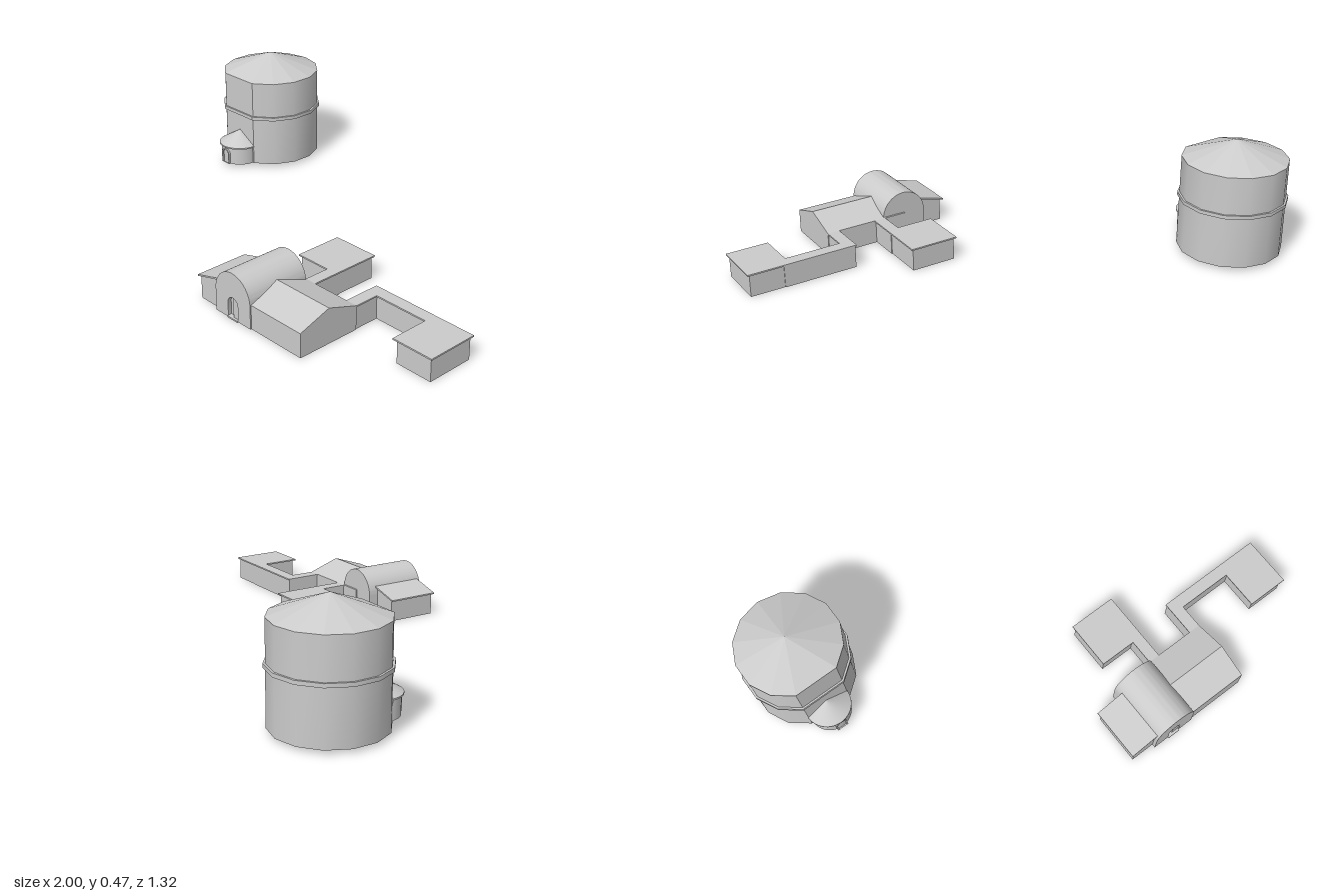
import * as THREE from 'three';
import { toCreasedNormals } from 'three/addons/utils/BufferGeometryUtils.js';

const grey = new THREE.MeshStandardMaterial({ color: 0xcccccc, side: THREE.DoubleSide });
const faceted = new THREE.MeshStandardMaterial({ color: 0xcccccc, side: THREE.DoubleSide, flatShading: true });

function add(parent, name, geometry, x = 0, y = 0, z = 0, material = grey) {
  const mesh = new THREE.Mesh(geometry, material);
  mesh.name = name;
  mesh.position.set(x, y, z);
  parent.add(mesh);
  return mesh;
}

const shapeOf = (points) => new THREE.Shape(points.map(([x, y]) => new THREE.Vector2(x, y)));
const extrude = (shape, depth) =>
  toCreasedNormals(new THREE.ExtrudeGeometry(shape, { depth, bevelEnabled: false, curveSegments: 20 }), 0.5);

// Horizontal slab from a plan outline given as [x, z]
function slab(plan, height) {
  return extrude(shapeOf(plan.map(([x, z]) => [x, -z])), height).rotateX(-Math.PI / 2);
}
const rect = (x0, z0, x1, z1) => [[x0, z0], [x1, z0], [x1, z1], [x0, z1]];

// Round-headed outline, standing on y = 0 and centred on x = 0
function arch(halfWidth, springing, Type = THREE.Shape) {
  const s = new Type();
  s.moveTo(-halfWidth, 0);
  s.lineTo(halfWidth, 0);
  s.lineTo(halfWidth, springing);
  s.absarc(0, springing, halfWidth, 0, Math.PI, false);
  s.lineTo(-halfWidth, 0);
  return s;
}

// Fourteen-sided drum whose front two sides are cut to one flat face
function drum(top, bottom, height, crease = 0.5) {
  const g = new THREE.CylinderGeometry(top, bottom, height, 14).translate(0, height / 2, 0);
  const p = g.attributes.position;
  const limit = bottom * Math.cos(Math.PI / 7);
  for (let i = 0; i < p.count; i++) p.setZ(i, Math.min(p.getZ(i), limit));
  return toCreasedNormals(g, crease);
}

function halfRound(top, bottom, height) {
  return new THREE.CylinderGeometry(top, bottom, height, 16, 1, false, -Math.PI / 2, Math.PI)
    .translate(0, height / 2, 0);
}

function createTower() {
  const tower = new THREE.Group();
  tower.name = 'tower';
  tower.position.set(-0.785, 0.015, -0.44);
  add(tower, 'towerWall', drum(0.21, 0.21, 0.38));
  add(tower, 'towerBand', drum(0.218, 0.218, 0.015), 0, 0.21, 0);
  add(tower, 'towerRoof', drum(0, 0.211, 0.077, 0.01), 0, 0.38, 0, faceted);

  // Half-round porch on the flat face
  add(tower, 'porchWall', halfRound(0.084, 0.084, 0.078), 0, 0, 0.189);
  add(tower, 'porchEave', halfRound(0.093, 0.093, 0.006), 0, 0.076, 0.189);
  add(tower, 'porchRoof', halfRound(0, 0.093, 0.055), 0, 0.082, 0.189);
  const frame = arch(0.024, 0.045);
  frame.holes.push(arch(0.018, 0.045, THREE.Path));
  add(tower, 'porchDoorFrame', extrude(frame, 0.02), 0, 0, 0.258);
  return tower;
}

function createHouse() {
  const house = new THREE.Group();
  house.name = 'house';

  // Gabled hall, ridge along x
  const gable = shapeOf([[-0.65, 0], [-0.385, 0], [-0.385, 0.097], [-0.517, 0.142], [-0.65, 0.097]]);
  add(house, 'gabledHall', extrude(gable, 0.35).rotateY(Math.PI / 2), 0.245, 0, 0);

  // Barrel-roofed entrance hall with a recessed arched door
  add(house, 'barrelHall', extrude(arch(0.094, 0.093), 0.25), 0.248, 0, 0.39);
  const front = arch(0.094, 0.093);
  front.holes.push(arch(0.027, 0.061, THREE.Path));
  add(house, 'barrelFront', extrude(front, 0.015), 0.248, 0, 0.64);
  add(house, 'doorStep', new THREE.BoxGeometry(0.054, 0.006, 0.02), 0.248, 0.003, 0.65);

  // Lean-to on the side of the entrance hall
  const leanTo = shapeOf([[0.053, 0], [0.17, 0], [0.17, 0.122], [0.053, 0.09]]);
  add(house, 'leanToWall', extrude(leanTo, 0.208), 0, 0, 0.432);
  const leanRoof = shapeOf([[0.04, 0.088], [0.17, 0.123], [0.17, 0.13], [0.04, 0.094]]);
  add(house, 'leanToRoof', extrude(leanRoof, 0.22), 0, 0, 0.425);

  // Rear wing: block reached by a short passage
  const roofY = 0.091;
  add(house, 'rearBlock', slab(rect(0.193, 0.088, 0.377, 0.272), roofY));
  add(house, 'rearPassage', slab(rect(0.34, 0.26, 0.38, 0.4), roofY));
  add(house, 'rearRoof', slab([[0.185, 0.08], [0.385, 0.08], [0.385, 0.39], [0.337, 0.39],
    [0.337, 0.28], [0.185, 0.28]], 0.006), 0, roofY, 0);

  // Side wing: block reached by a cranked passage
  add(house, 'sideBlock', slab(rect(0.838, 0.242, 0.99, 0.436), roofY));
  add(house, 'sidePassage', slab([[0.549, 0.4], [0.549, 0.239], [0.85, 0.239], [0.85, 0.281],
    [0.592, 0.281], [0.592, 0.4]], roofY));
  add(house, 'sideRoof', slab([[0.545, 0.39], [0.545, 0.235], [0.999, 0.235], [0.999, 0.445],
    [0.825, 0.445], [0.825, 0.285], [0.595, 0.285], [0.595, 0.39]], 0.006), 0, roofY, 0);
  return house;
}

export function createModel() {
  const model = new THREE.Group();
  model.name = 'towerAndHouse';
  model.add(createTower(), createHouse());
  return model;
}
